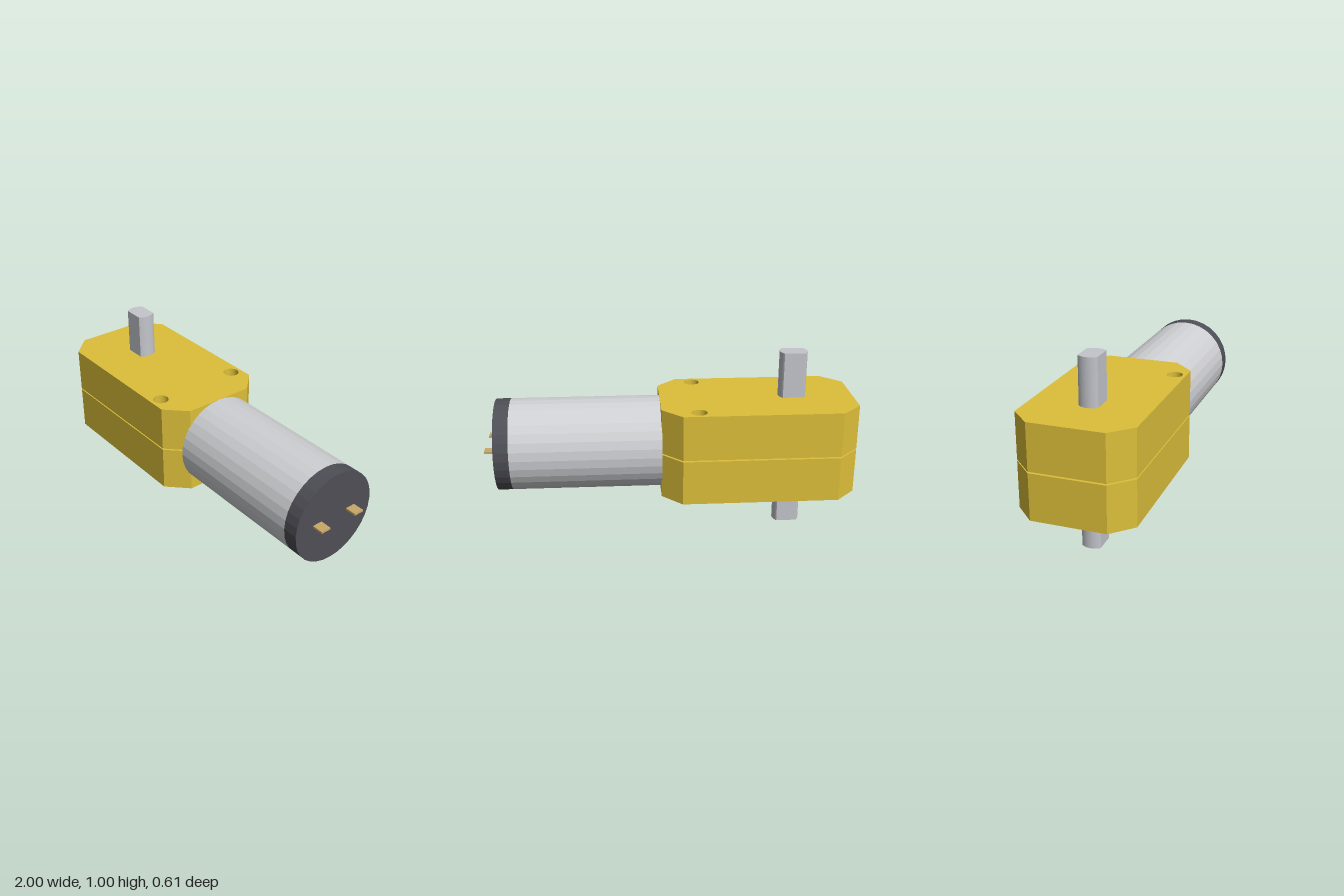
import * as THREE from 'three';

const mat = (name, color, flatShading = false) => {
  const m = new THREE.MeshStandardMaterial({ color, flatShading });
  m.name = name;
  return m;
};

export function createModel() {
  const yellow = mat('yellow plastic', 0xdcbf3a);
  const steel = mat('shaft steel', 0xc4c6cc);
  const canMetal = mat('motor can metal', 0xcfd0d3, true);
  const dark = mat('dark cap', 0x4e4e56, true);
  const brass = mat('terminal brass', 0xc8a868);

  const group = new THREE.Group();
  group.name = 'gearMotor';
  const add = (name, geometry, material, x = 0, y = 0, z = 0) => {
    const mesh = new THREE.Mesh(geometry, material);
    mesh.name = name;
    mesh.position.set(x, y, z);
    group.add(mesh);
    return mesh;
  };
  // Extrude a plan-view shape upwards
  const extrudeUp = (shape, depth, curveSegments) =>
    new THREE.ExtrudeGeometry(shape, { depth, curveSegments, bevelEnabled: false }).rotateX(-Math.PI / 2);

  // Gearbox: two chamfered halves with a thin seam and two screw holes
  const x0 = -1, x1 = 0.055, w = 0.303, c = 0.108;
  const plan = new THREE.Shape([
    [x0 + c, -w], [x1 - c, -w], [x1, -w + c], [x1, w - c],
    [x1 - c, w], [x0 + c, w], [x0, w - c], [x0, -w + c],
  ].map(([x, y]) => new THREE.Vector2(x, y)));
  for (const s of [-1, 1]) {
    plan.holes.push(new THREE.Path().absarc(-0.141, s * 0.243, 0.042, 0, Math.PI * 2, true));
  }
  const half = extrudeUp(plan, 0.246, 16);
  add('gearboxLowerHalf', half, yellow, 0, 0.25);
  add('gearboxUpperHalf', half, yellow, 0, 0.504);

  // Output shaft: round bar with two flats, passing right through
  const a = Math.asin(0.05 / 0.075);
  const section = new THREE.Shape();
  section.absarc(0, 0, 0.075, -a, a, false);
  section.absarc(0, 0, 0.075, Math.PI - a, Math.PI + a, false);
  section.closePath();
  add('outputShaft', extrudeUp(section, 1, 10), steel, -0.669, 0, 0);

  // Motor can and end cap lying along x
  const drum = (from, to) => new THREE.CylinderGeometry(0.25, 0.25, to - from, 32)
    .rotateZ(-Math.PI / 2).translate((from + to) / 2, 0.5, 0);
  add('motorCan', drum(0.052, 0.86), canMetal);
  add('motorEndCap', drum(0.86, 0.94), dark);

  // Electrical terminals
  for (const s of [-1, 1]) {
    add(s > 0 ? 'frontTerminal' : 'backTerminal', new THREE.BoxGeometry(0.07, 0.011, 0.056),
      brass, 0.965, 0.508, s * 0.111);
  }
  return group;
}
